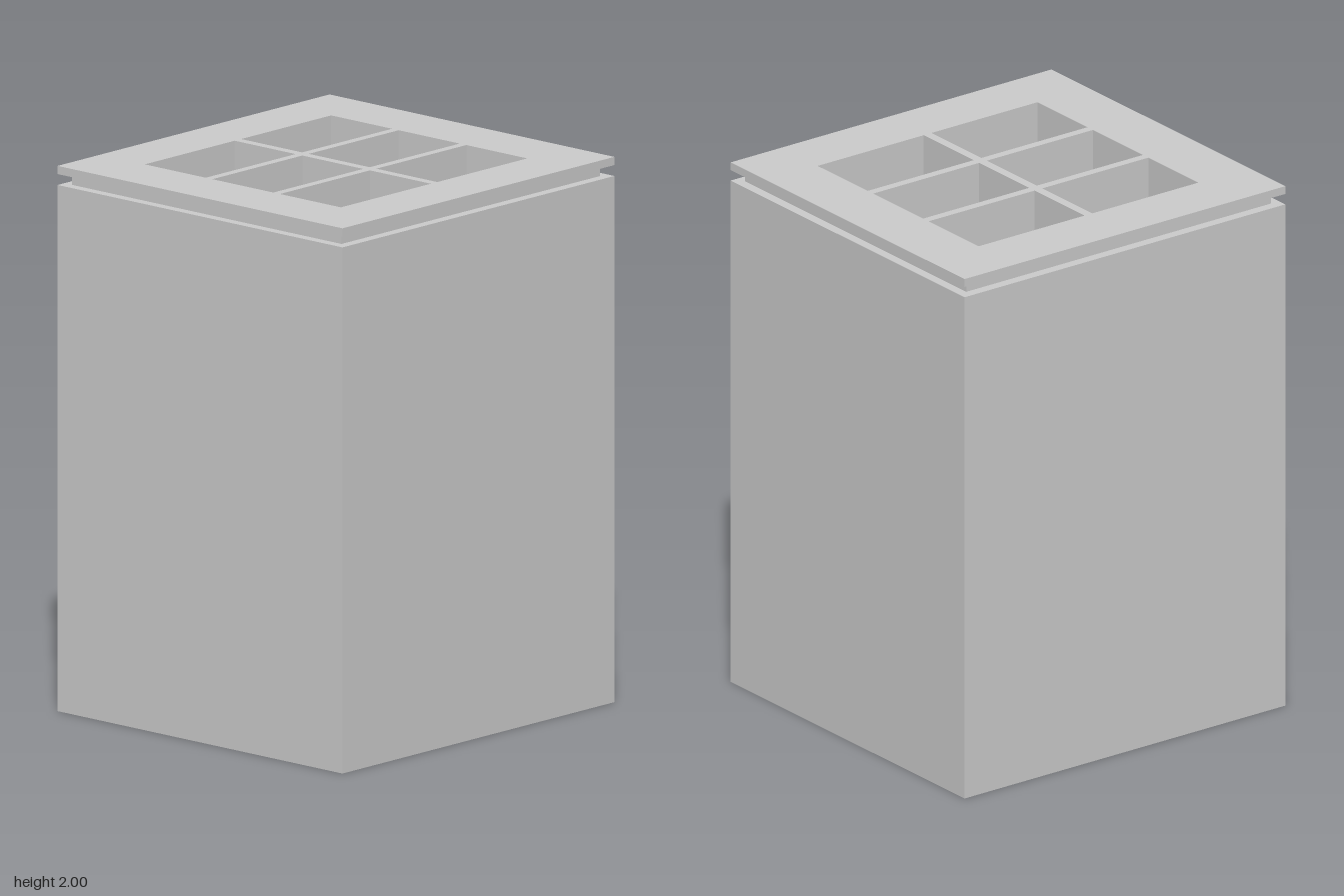
import * as THREE from 'three';

const material = new THREE.MeshStandardMaterial({ color: 0xcccccc, flatShading: true });

// Rectangle outline centred on (cx, cy)
function trace(path, cx, cy, halfW, halfH) {
  path.moveTo(cx - halfW, cy - halfH);
  path.lineTo(cx + halfW, cy - halfH);
  path.lineTo(cx + halfW, cy + halfH);
  path.lineTo(cx - halfW, cy + halfH);
  path.closePath();
  return path;
}

// Horizontal slab from y0 to y1, pierced by the six shafts when open
function slab(name, halfX, halfZ, y0, y1, open = true) {
  const shape = trace(new THREE.Shape(), 0, 0, halfX, halfZ);
  if (open) {
    for (const x of [-0.326, 0, 0.326]) {
      for (const z of [-0.2545, 0.2545]) {
        shape.holes.push(trace(new THREE.Path(), x, z, 0.147, 0.2375));
      }
    }
  }
  const geometry = new THREE.ExtrudeGeometry(shape, { depth: y1 - y0, bevelEnabled: false });
  geometry.rotateX(-Math.PI / 2);
  geometry.translate(0, y0, 0);
  const mesh = new THREE.Mesh(geometry, material);
  mesh.name = name;
  return mesh;
}

export function createModel() {
  const group = new THREE.Group();
  group.name = 'shaftBlock';
  group.add(
    slab('basePlate', 0.687, 0.718, 0, 0.01, false), // closes the shafts below
    slab('body', 0.687, 0.718, 0.01, 1.93),
    slab('neck', 0.65, 0.682, 1.93, 1.97), // recessed band
    slab('capPlate', 0.687, 0.718, 1.97, 2)
  );
  return group;
}
